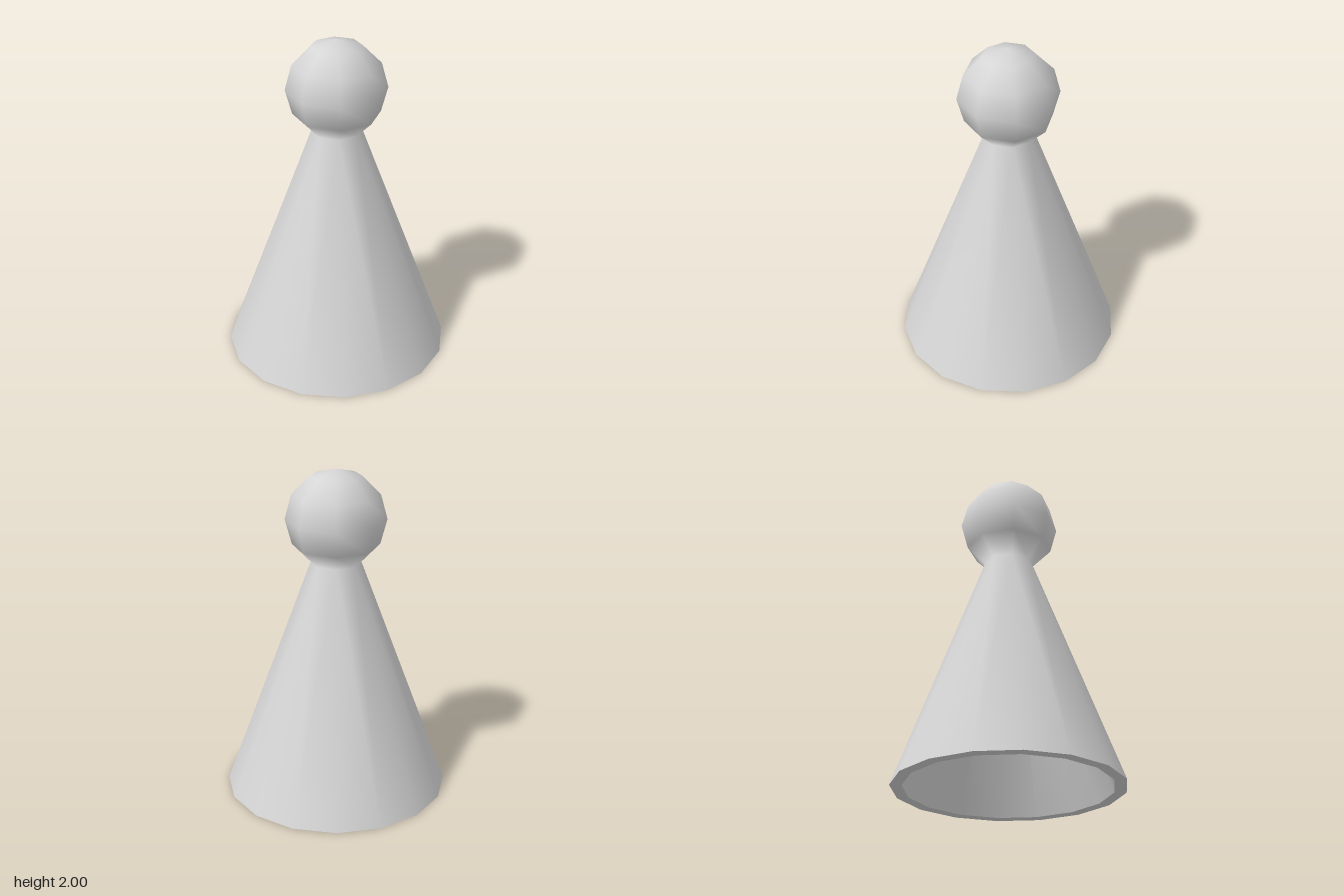
import * as THREE from 'three';
import { mergeGeometries, mergeVertices } from 'three/addons/utils/BufferGeometryUtils.js';

const NECK_Y = 1.44;
const HEAD_Y = 1.7;

// Point on a horizontal circle, counted in sixteenths of a turn
function onCircle(radius, y, step) {
  const a = step * Math.PI / 8;
  return new THREE.Vector3(radius * Math.sin(a), y, radius * Math.cos(a));
}

// One smooth skin: eight-sided head, open at the neck, widening to a sixteen-sided skirt
function skin(headRadius, neckRadius, baseRadius) {
  const profile = [new THREE.Vector2(neckRadius, NECK_Y)];
  for (let i = 2; i <= 6; i++) {
    const a = i * Math.PI / 6;
    profile.push(new THREE.Vector2(headRadius * Math.sin(a), HEAD_Y - headRadius * Math.cos(a)));
  }
  const head = new THREE.LatheGeometry(profile, 8).toNonIndexed();
  head.deleteAttribute('normal');
  head.deleteAttribute('uv');

  // Each neck edge fans out to two base edges
  const points = [];
  for (let s = 0; s < 16; s += 2) {
    const n0 = onCircle(neckRadius, NECK_Y, s);
    const n1 = onCircle(neckRadius, NECK_Y, s + 2);
    const [b0, b1, b2] = [0, 1, 2].map(k => onCircle(baseRadius, 0, s + k));
    points.push(n0, b0, b1, n0, b1, n1, n1, b1, b2);
  }
  const skirt = new THREE.BufferGeometry().setFromPoints(points);
  return mergeVertices(mergeGeometries([head, skirt]), 0.001);
}

export function createModel() {
  const model = new THREE.Group();
  model.name = 'pawn';
  const grey = new THREE.MeshStandardMaterial({ color: 0xd6d6d6 });
  grey.name = 'light grey';

  function add(name, geometry) {
    geometry.computeVertexNormals();
    const mesh = new THREE.Mesh(geometry, grey);
    mesh.name = name;
    model.add(mesh);
  }

  // Outside of head and skirt
  add('outerShell', skin(0.3, 0.15, 0.68));

  // Hollow inside, facing inward
  const inner = skin(0.23, 0.08, 0.61);
  inner.index.array.reverse();
  add('innerShell', inner);

  // Flat ring joining both shells at the ground
  const rim = new THREE.LatheGeometry([new THREE.Vector2(0.61, 0), new THREE.Vector2(0.68, 0)], 16);
  add('bottomRim', rim);

  return model;
}
